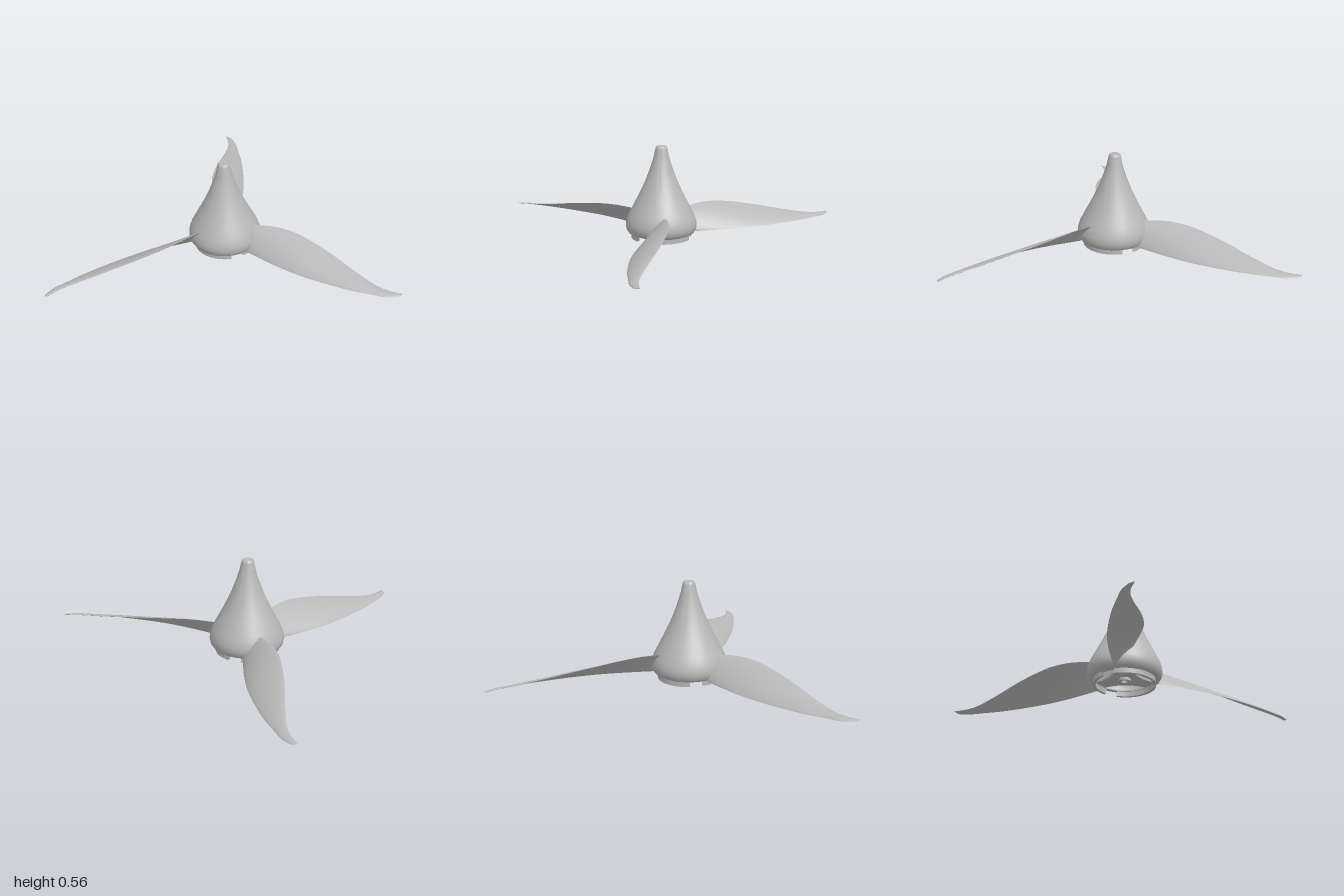
import * as THREE from 'three';
import { toCreasedNormals } from 'three/addons/utils/BufferGeometryUtils.js';

const metal = new THREE.MeshStandardMaterial({ color: 0xb8b8b8, side: THREE.DoubleSide });
metal.name = 'grey metal';

function mesh(name, geometry) {
  const m = new THREE.Mesh(geometry, metal);
  m.name = name;
  return m;
}

function lathe(points, segments = 64, start = 0, length = Math.PI * 2) {
  const pts = points.map(([r, y]) => new THREE.Vector2(r, y));
  return toCreasedNormals(new THREE.LatheGeometry(pts, segments, start, length), 0.6);
}

const curve = (pts) => new THREE.CatmullRomCurve3(pts.map((p) => new THREE.Vector3(...p)));

// Twisted blade: thin lens sections spanning the trailing and leading edge curves
function bladeGeometry() {
  const lead = curve([[0.175, 0.16, -0.052], [0.3, 0.17, -0.092], [0.42, 0.163, -0.113], [0.52, 0.148, -0.114],
    [0.66, 0.122, -0.103], [0.86, 0.079, -0.074], [1.0, 0.054, -0.059], [1.07, 0.047, -0.064], [1.15, 0.043, -0.086]]);
  const trail = curve([[0.195, 0.03, 0.05], [0.3, 0.03, 0.062], [0.42, 0.03, 0.072], [0.53, 0.03, 0.075],
    [0.67, 0.03, 0.066], [0.87, 0.031, 0.037], [1.0, 0.033, 0.005], [1.08, 0.034, -0.017], [1.14, 0.036, -0.052]]);
  const spans = 48, sides = 20, pos = [], index = [];
  for (let i = 0; i <= spans; i++) {
    const t = i / spans;
    const a = trail.getPoint(t), b = lead.getPoint(t);
    const chord = b.clone().sub(a);
    const up = new THREE.Vector3(0, -chord.z, chord.y).normalize();
    const half = i === spans ? 0.0003 : 0.007 - 0.004 * t;
    for (let j = 0; j < sides; j++) {
      const w = (j / sides) * Math.PI * 2;
      const s = (1 - Math.cos(w)) / 2;
      const camber = 0.05 * chord.length() * 4 * s * (1 - s);
      const p = a.clone().addScaledVector(chord, s).addScaledVector(up, Math.sin(w) * half + camber);
      pos.push(p.x, p.y, p.z);
      if (i < spans) {
        const k = i * sides + j, n = i * sides + (j + 1) % sides;
        index.push(k, k + sides, n, n, k + sides, n + sides);
      }
    }
  }
  // Root and tip caps
  for (let j = 1; j < sides - 1; j++) {
    const e = spans * sides;
    index.push(0, j, j + 1, e, e + j + 1, e + j);
  }
  const g = new THREE.BufferGeometry();
  g.setAttribute('position', new THREE.Float32BufferAttribute(pos, 3));
  g.setIndex(index);
  return toCreasedNormals(g, 0.8);
}

// Three-armed plate inside the hub, with a shaft hole
function spiderGeometry() {
  const shape = new THREE.Shape();
  const at = (r, deg) => [r * Math.cos(deg * Math.PI / 180), r * Math.sin(deg * Math.PI / 180)];
  shape.moveTo(...at(0.185, -14));
  for (let k = 0; k < 3; k++) {
    const a = k * 120;
    shape.lineTo(...at(0.185, a + 14));
    shape.quadraticCurveTo(...at(0.04, a + 60), ...at(0.185, a + 106));
  }
  const hole = new THREE.Path();
  hole.absarc(0, 0, 0.018, 0, Math.PI * 2, true);
  shape.holes.push(hole);
  const g = new THREE.ExtrudeGeometry(shape, { depth: 0.015, bevelEnabled: false, curveSegments: 16 });
  g.rotateX(-Math.PI / 2);
  return g;
}

export function createModel() {
  const model = new THREE.Group();
  const propeller = new THREE.Group();
  propeller.name = 'propeller';
  propeller.position.set(-0.255, 0, -0.04);
  model.add(propeller);

  // Hollow nose cone, traced from the inside crown down and up the outside
  propeller.add(mesh('noseCone', lathe([
    [0, 0.5], [0.03, 0.48], [0.065, 0.4], [0.1, 0.3], [0.148, 0.2], [0.185, 0.12], [0.193, 0.08], [0.185, 0.05], [0.158, 0.03],
    [0.178, 0.028], [0.196, 0.036], [0.207, 0.052], [0.212, 0.075], [0.21, 0.1], [0.2, 0.132], [0.184, 0.165], [0.164, 0.204],
    [0.14, 0.25], [0.116, 0.3], [0.094, 0.35], [0.075, 0.4], [0.058, 0.45], [0.045, 0.495], [0.036, 0.54], [0.033, 0.55],
    [0.027, 0.556], [0, 0.556],
  ])));

  // Shaft boss and arms under the cone
  const spider = mesh('hubSpider', spiderGeometry());
  spider.position.y = 0.035;
  propeller.add(spider);
  propeller.add(mesh('shaftBoss', lathe([[0.018, 0.1], [0.018, 0.02], [0.036, 0.02], [0.036, 0.1], [0.018, 0.1]], 32)));

  // Three blades and three rim arcs, with a gap in the rim beside each blade
  const blade = bladeGeometry();
  const rad = Math.PI / 180;
  const arc = lathe([[0.162, 0.04], [0.162, 0], [0.178, 0], [0.178, 0.04]], 24, -48 * rad, 95 * rad);
  for (let k = 0; k < 3; k++) {
    const b = mesh('blade' + (k + 1), blade);
    const r = mesh('rimArc' + (k + 1), arc);
    b.rotation.y = r.rotation.y = k * 120 * rad;
    propeller.add(b, r);
  }
  return model;
}
